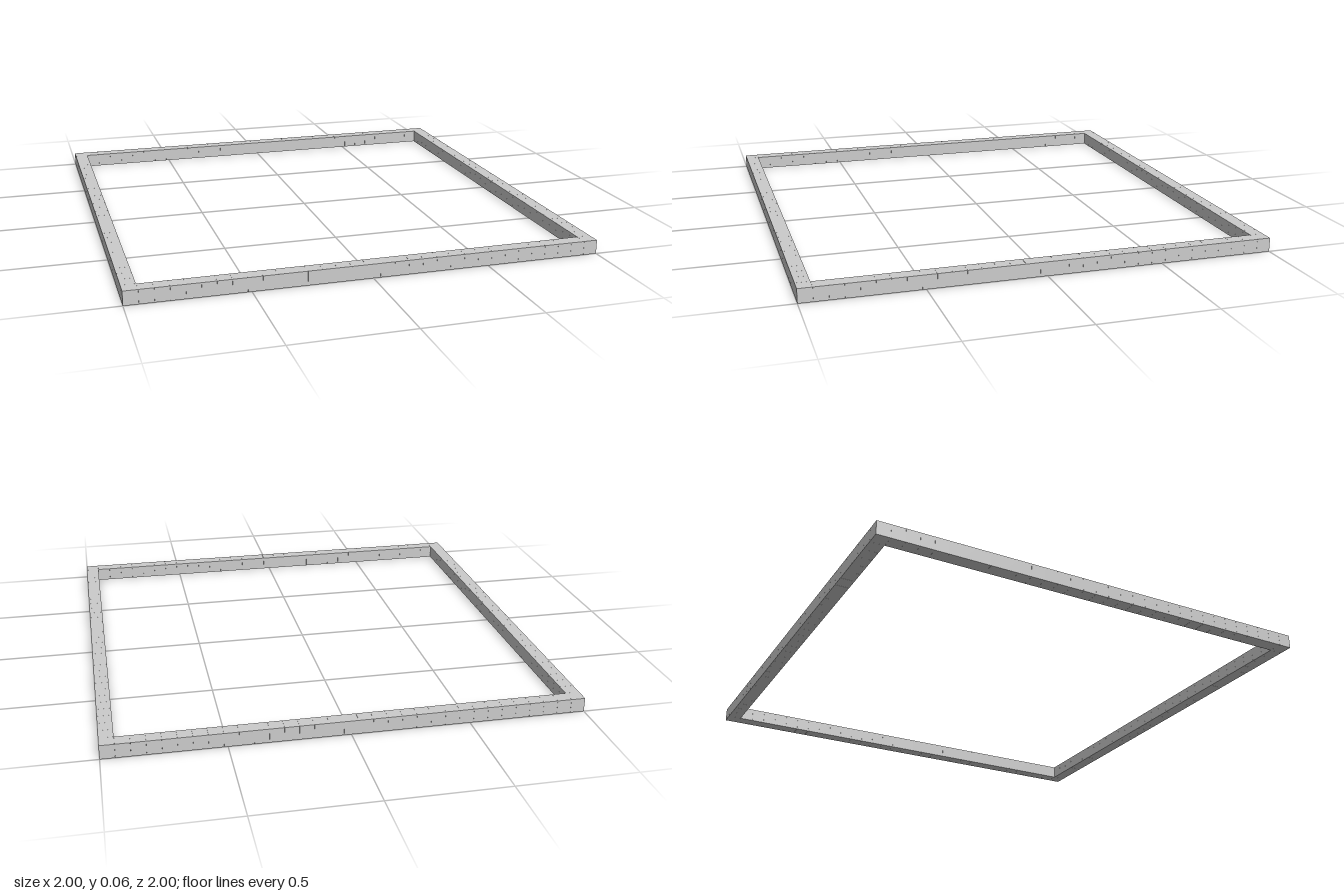
import * as THREE from 'three';

const COUNT = 33;               // blocks along each side, corners included
const SIZE = 0.0603;            // edge length of one block
const PITCH = (2 - SIZE) / (COUNT - 1);
const EDGE = 1 - SIZE / 2;      // centre line of each side

export function createModel() {
  const model = new THREE.Group();
  model.name = 'squareBlockFrame';
  const material = new THREE.MeshStandardMaterial({ color: 0xcccccc, flatShading: true });
  const block = new THREE.BoxGeometry(SIZE, SIZE, SIZE);

  // Four rows of cubes; each row owns its first corner and stops before the next
  ['frontSide', 'leftSide', 'backSide', 'rightSide'].forEach((name, k) => {
    const side = new THREE.Group();
    side.name = name;
    for (let i = 0; i < COUNT - 1; i++) {
      const cube = new THREE.Mesh(block, material);
      cube.name = 'block';
      cube.position.set(-EDGE + i * PITCH, SIZE / 2, EDGE);
      side.add(cube);
    }
    side.rotation.y = k * Math.PI / 2;
    model.add(side);
  });

  return model;
}
